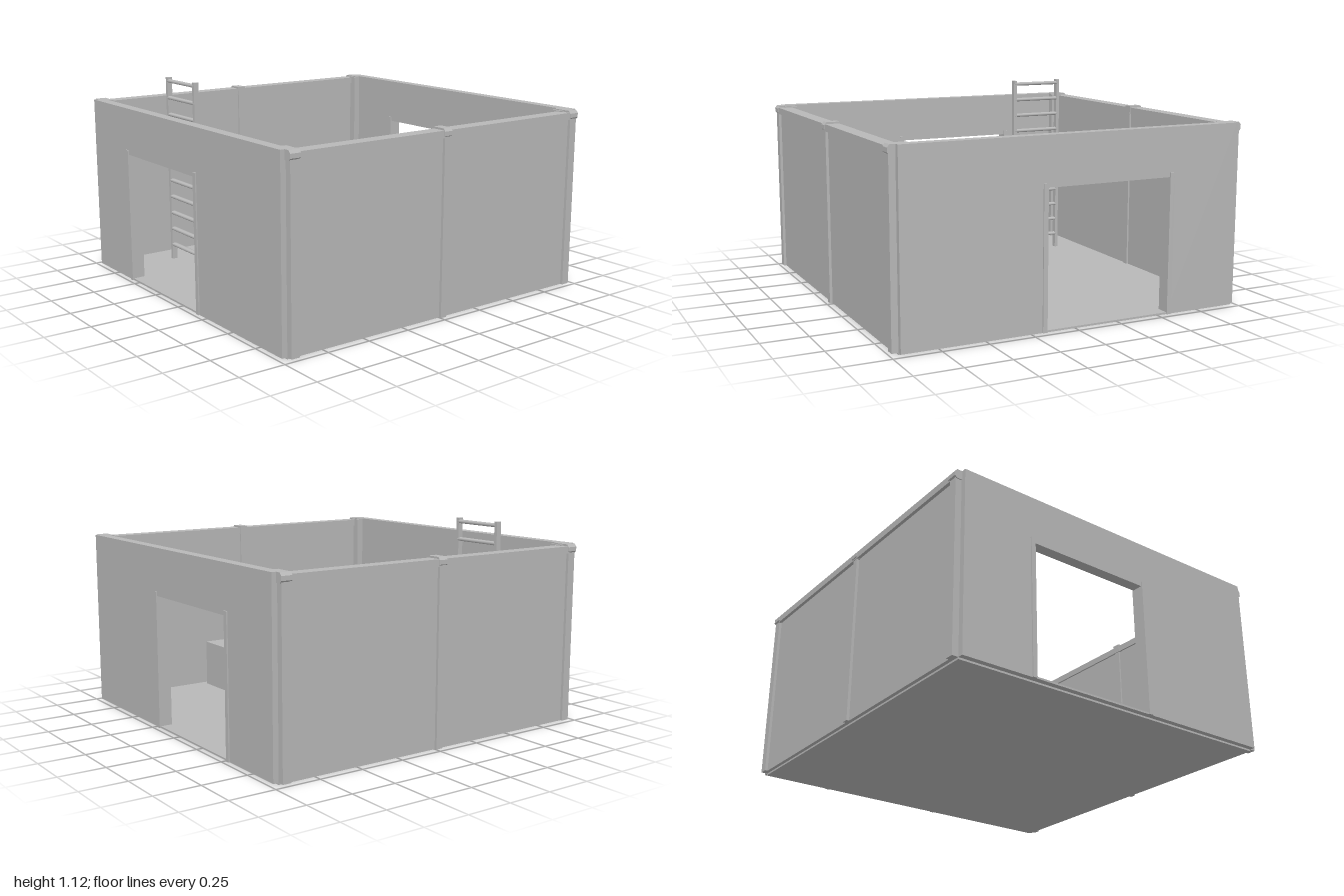
import * as THREE from 'three';

export function createModel() {
  const group = new THREE.Group();
  const grey = new THREE.MeshStandardMaterial({ color: 0xb8b8b8 });

  // box given by its min and max on each axis
  function box(name, x0, x1, y0, y1, z0, z1, parent = group) {
    const mesh = new THREE.Mesh(new THREE.BoxGeometry(x1 - x0, y1 - y0, z1 - z0), grey);
    mesh.position.set((x0 + x1) / 2, (y0 + y1) / 2, (z0 + z1) / 2);
    mesh.name = name;
    parent.add(mesh);
    return mesh;
  }

  // beam joint with a chamfered outer top edge, extruded along z
  function joint(name, side, inner, z0, z1) {
    const s = new THREE.Shape([
      [inner, 0.95], [0.985, 0.95], [0.997, 0.962], [0.997, 0.985], [0.985, 1.0], [inner, 1.0],
    ].map(([x, y]) => new THREE.Vector2(x, y)));
    const geo = new THREE.ExtrudeGeometry(s, { depth: z1 - z0, bevelEnabled: false });
    geo.translate(0, 0, z0);
    if (side < 0) geo.rotateY(Math.PI).translate(0, 0, z0 + z1);
    const mesh = new THREE.Mesh(geo, grey);
    mesh.name = name;
    group.add(mesh);
  }

  box('floor', -0.955, 0.955, 0, 0.02, -0.955, 0.955);

  // front and back walls with a doorway
  const doorL = -0.535, doorR = 0.18, doorTop = 0.74;
  const wall = new THREE.Shape([
    [-0.955, 0.01], [doorL, 0.01], [doorL, doorTop], [doorR, doorTop],
    [doorR, 0.01], [0.955, 0.01], [0.955, 1.0], [-0.955, 1.0],
  ].map(([x, y]) => new THREE.Vector2(x, y)));
  for (const s of [1, -1]) {
    const end = s > 0 ? 'front' : 'back';
    const z0 = s > 0 ? 0.925 : -0.985;
    const geo = new THREE.ExtrudeGeometry(wall, { depth: 0.06, bevelEnabled: false });
    geo.translate(0, 0, z0);
    const mesh = new THREE.Mesh(geo, grey);
    mesh.name = end + 'Wall';
    group.add(mesh);
    box(end + 'DoorSill', doorL, doorR, 0.01, 0.02, z0, z0 + 0.06);
    for (const x of [-0.56, 0.178]) {
      box(end + 'DoorJamb', x, x + 0.025, 0.01, 0.765, z0 - 0.007, z0 + 0.067);
    }
  }

  // side walls: recessed panels between posts under a top beam
  for (const s of [1, -1]) {
    const side = s > 0 ? 'left' : 'right';
    const sideBox = (name, a, b, ...rest) =>
      box(side + name, Math.min(s * a, s * b), Math.max(s * a, s * b), ...rest);
    sideBox('Panel', 0.925, 0.975, 0.01, 0.96, -0.92, 0.92);
    sideBox('TopBeam', 0.915, 0.993, 0.952, 0.99, -0.91, 0.91);
    sideBox('MiddlePost', 0.915, 0.99, 0.01, 0.96, -0.018, 0.018);
    joint(side + 'MiddleJoint', s, 0.91, -0.025, 0.025);
    for (const e of [1, -1]) {
      const span = (a, b) => [Math.min(e * a, e * b), Math.max(e * a, e * b)];
      sideBox('CornerPost', 0.915, 0.99, 0.01, 0.96, ...span(0.908, 0.955));
      sideBox('InnerCornerPost', 0.88, 0.955, 0.01, 0.995, ...span(0.885, 0.95));
      joint(side + 'CornerJoint', s, 0.88, ...span(0.9, 0.96));
    }
  }

  // ladder rising past the wall tops
  const ladder = new THREE.Group();
  ladder.name = 'ladder';
  group.add(ladder);
  for (const x of [-0.765, -0.46]) {
    box('ladderRail', x, x + 0.02, 0.02, 1.122, 0.585, 0.615, ladder);
  }
  const rungGeo = new THREE.CylinderGeometry(0.018, 0.018, 0.3, 8);
  rungGeo.rotateZ(Math.PI / 2).scale(1, 0.6, 1);
  for (let i = 1; i <= 11; i++) {
    const rung = new THREE.Mesh(rungGeo, grey);
    rung.name = 'ladderRung';
    rung.position.set(-0.6, 0.01 + i * 0.0992, 0.6);
    ladder.add(rung);
  }

  // console by the left wall with a raised top and an upright screen
  const desk = new THREE.Group();
  desk.name = 'console';
  group.add(desk);
  box('consoleBase', 0.66, 0.885, 0.02, 0.29, -0.3, 0.29, desk);
  box('consoleTop', 0.663, 0.88, 0.29, 0.32, -0.095, 0.26, desk);
  box('consoleScreen', 0.78, 0.8, 0.32, 0.43, 0.03, 0.21, desk);

  return group;
}
